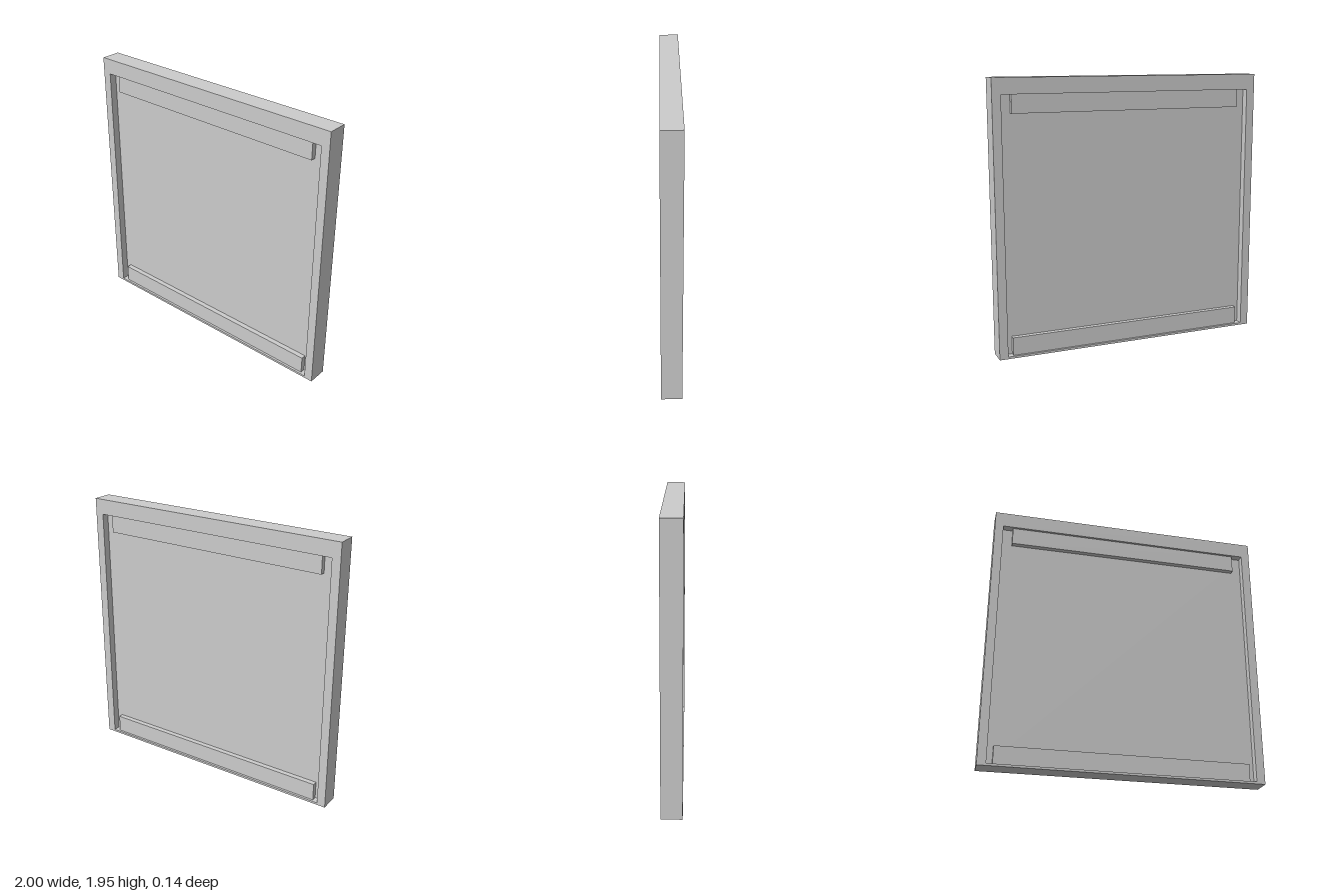
import * as THREE from 'three';

export function createModel() {
  const group = new THREE.Group();
  const material = new THREE.MeshStandardMaterial({ color: 0xcccccc, flatShading: true });
  const height = 1.952, depth = 0.144;
  const open = { x: 0.938, bottom: 0.016, top: 1.84 };
  const panelZ = 0.018, railZ = 0.055;

  const add = (name, geometry, x = 0, y = 0, z = 0) => {
    const mesh = new THREE.Mesh(geometry, material);
    mesh.name = name;
    mesh.position.set(x, y, z);
    group.add(mesh);
  };

  // Outer frame with a rectangular opening
  const rectangle = (Type, x, y0, y1) => new Type([
    new THREE.Vector2(-x, y0), new THREE.Vector2(x, y0),
    new THREE.Vector2(x, y1), new THREE.Vector2(-x, y1),
  ]);
  const outline = rectangle(THREE.Shape, 1, 0, height);
  outline.holes.push(rectangle(THREE.Path, open.x, open.bottom, open.top));
  add('frame', new THREE.ExtrudeGeometry(outline, { depth, bevelEnabled: false }), 0, 0, -depth / 2);

  // Thin panel closing the opening, recessed on both faces
  add('panel', new THREE.BoxGeometry(open.x * 2, open.top - open.bottom, panelZ * 2),
    0, (open.top + open.bottom) / 2);

  // Upper and lower rails on the front and back of the panel
  const railHeight = 0.129, railDepth = railZ - panelZ;
  for (const [side, sign] of [['front', 1], ['back', -1]]) {
    const z = sign * (panelZ + railDepth / 2);
    add(side + 'TopRail', new THREE.BoxGeometry(1.728, railHeight, railDepth), 0, open.top - railHeight / 2, z);
    add(side + 'BottomRail', new THREE.BoxGeometry(1.792, railHeight, railDepth), 0, open.bottom + railHeight / 2, z);
  }
  return group;
}
